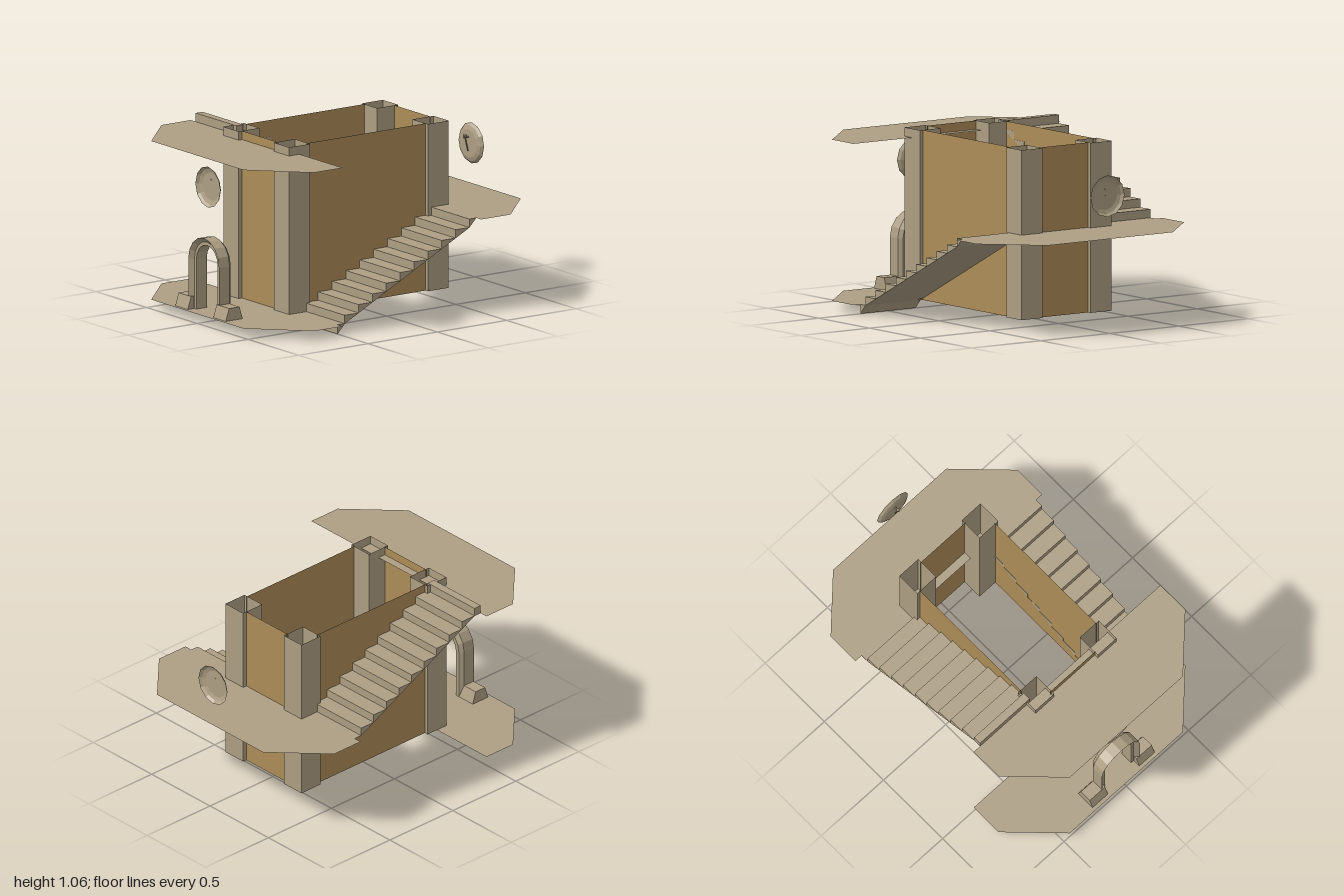
import * as THREE from 'three';

const stone = new THREE.MeshStandardMaterial({ color: 0xad9f84, flatShading: true, side: THREE.DoubleSide });
stone.name = 'stone';
const plaster = new THREE.MeshStandardMaterial({ color: 0xad8d59, flatShading: true, side: THREE.DoubleSide });
plaster.name = 'plaster';

const BASE = 0.056; // foot of the tower
const MIRROR = [1, -1];

function add(parent, name, geometry, material, x = 0, y = 0, z = 0) {
  const mesh = new THREE.Mesh(geometry, material);
  mesh.name = name;
  mesh.position.set(x, y, z);
  parent.add(mesh);
  return mesh;
}

const shapeOf = (points) => new THREE.Shape(points.map(([x, y]) => new THREE.Vector2(x, y)));

// Flat landing with two clipped corners, lying on the front half
function landingGeometry() {
  const g = new THREE.ShapeGeometry(shapeOf([
    [-0.75, -0.5], [-0.75, -0.71], [-0.455, -1], [0.455, -1], [0.75, -0.71], [0.75, -0.5],
  ]));
  return g.rotateX(-Math.PI / 2);
}

// Flight rising half a unit towards the back, with a straight underside;
// foot and head are the profile points that finish its two ends
function stairGeometry(foot, head) {
  const rise = 0.05, run = 0.1, thin = 0.002;
  const points = [foot, [-0.5, BASE]];
  for (let i = 0; i < 10; i++) {
    const x = -0.45 + i * run, y = BASE + i * rise;
    points.push([x, y], [x, y + rise]);
  }
  points.push([0.5, BASE + 0.5], ...head, [0.45, BASE + 0.45 - thin], [-0.45, BASE - thin]);
  const g = new THREE.ExtrudeGeometry(shapeOf(points), { depth: 0.4, bevelEnabled: false });
  return g.rotateY(Math.PI / 2).translate(0.3, 0, 0);
}

// Bevelled section swept up one leg, round the arch and down the other
function archGeometry() {
  const section = [[0.151, 0.955], [0.151, 0.878], [0.13, 0.855], [0.105, 0.855], [0.105, 0.93], [0.125, 0.93]];
  const spring = 0.353, steps = 8, n = section.length;
  const positions = [], index = [];
  for (let j = 0; j <= steps + 2; j++) {
    const a = (THREE.MathUtils.clamp(j - 1, 0, steps) / steps) * Math.PI;
    const foot = j === 0 || j === steps + 2;
    for (const [r, z] of section) {
      positions.push(r * Math.cos(a), foot ? BASE : spring + r * Math.sin(a), z);
    }
  }
  for (let j = 0; j < steps + 2; j++) {
    for (let i = 0; i < n; i++) {
      const a = j * n + i, b = j * n + (i + 1) % n;
      index.push(a, b, b + n, a, b + n, a + n);
    }
  }
  const g = new THREE.BufferGeometry();
  g.setAttribute('position', new THREE.Float32BufferAttribute(positions, 3));
  g.setIndex(index);
  const flat = g.toNonIndexed();
  flat.computeVertexNormals();
  return flat;
}

// Splayed block beside each leg of the arch
function footGeometry() {
  const g = new THREE.ExtrudeGeometry(
    shapeOf([[-0.977, BASE], [-0.855, BASE], [-0.878, 0.13], [-0.953, 0.13]]),
    { depth: 0.123, bevelEnabled: false });
  return g.rotateY(Math.PI / 2);
}

// Thin rod between two points
function rod(parent, name, from, to, radius) {
  const a = new THREE.Vector3(...from), b = new THREE.Vector3(...to);
  add(parent, name, new THREE.TubeGeometry(new THREE.LineCurve3(a, b), 1, radius, 6), stone);
}

// Shallow dish opening outwards, with a small bracket behind it
function createDish() {
  const dish = new THREE.Group();
  const profile = [[0.001, 0], [0.085, 0], [0.108, 0.008], [0.123, 0.023]].map(([r, y]) => new THREE.Vector2(r, y));
  add(dish, 'dishBowl', new THREE.LatheGeometry(profile, 12).rotateX(Math.PI / 2), stone);
  rod(dish, 'bracketArm', [0, 0.04, 0.002], [0, 0.04, -0.035], 0.005);
  rod(dish, 'bracketStrut', [0, -0.045, -0.004], [0, 0.045, -0.026], 0.004);
  add(dish, 'bracketKnob', new THREE.SphereGeometry(0.011, 8, 6), stone, 0, 0.05, -0.026);
  return dish;
}

export function createModel() {
  const model = new THREE.Group();
  model.name = 'stairTower';

  // Tower walls and hollow corner pillars
  const tower = new THREE.Group();
  tower.name = 'tower';
  model.add(tower);
  const pillar = new THREE.CylinderGeometry(0.15 / Math.SQRT2, 0.15 / Math.SQRT2, 1, 4, 1, true).rotateY(Math.PI / 4);
  for (const s of MIRROR) {
    const end = add(tower, 'endWall', new THREE.PlaneGeometry(0.36, 1), plaster, 0, BASE + 0.5, s * 0.55);
    end.rotation.y = s > 0 ? 0 : Math.PI;
    const side = add(tower, 'sideWall', new THREE.PlaneGeometry(0.86, 1), plaster, s * 0.302, BASE + 0.5, 0);
    side.rotation.y = s * Math.PI / 2;
    for (const t of MIRROR) add(tower, 'cornerPillar', pillar, stone, s * 0.25, BASE + 0.5, t * 0.5);
  }

  // Landings: front bottom, back middle, front top
  const landing = landingGeometry();
  [BASE, BASE + 0.5, 1.004].forEach((y, i) => {
    add(model, 'landing', landing, stone, 0, y, 0).rotation.y = i * Math.PI;
  });

  // Two flights on opposite sides; the upper one ends in a step down to its landing
  add(model, 'lowerStair', stairGeometry([-0.5, 0], []), stone);
  const upper = stairGeometry([-0.5, BASE - 0.002], [[0.5, BASE + 0.448]]);
  add(model, 'upperStair', upper, stone, 0, 0.5, 0).rotation.y = Math.PI;

  // Doorway on the front landing
  const doorway = new THREE.Group();
  doorway.name = 'doorway';
  model.add(doorway);
  add(doorway, 'arch', archGeometry(), stone);
  const foot = footGeometry();
  add(doorway, 'archFoot', foot, stone, 0.126, 0, 0);
  add(doorway, 'archFoot', foot, stone, -0.249, 0, 0);

  // Dishes at the front and back
  const front = createDish();
  front.name = 'frontDish';
  front.position.set(0, 0.805, 0.901);
  const back = createDish();
  back.name = 'backDish';
  back.position.set(0, 0.805, -0.955);
  back.rotation.y = Math.PI;
  model.add(front, back);

  return model;
}
